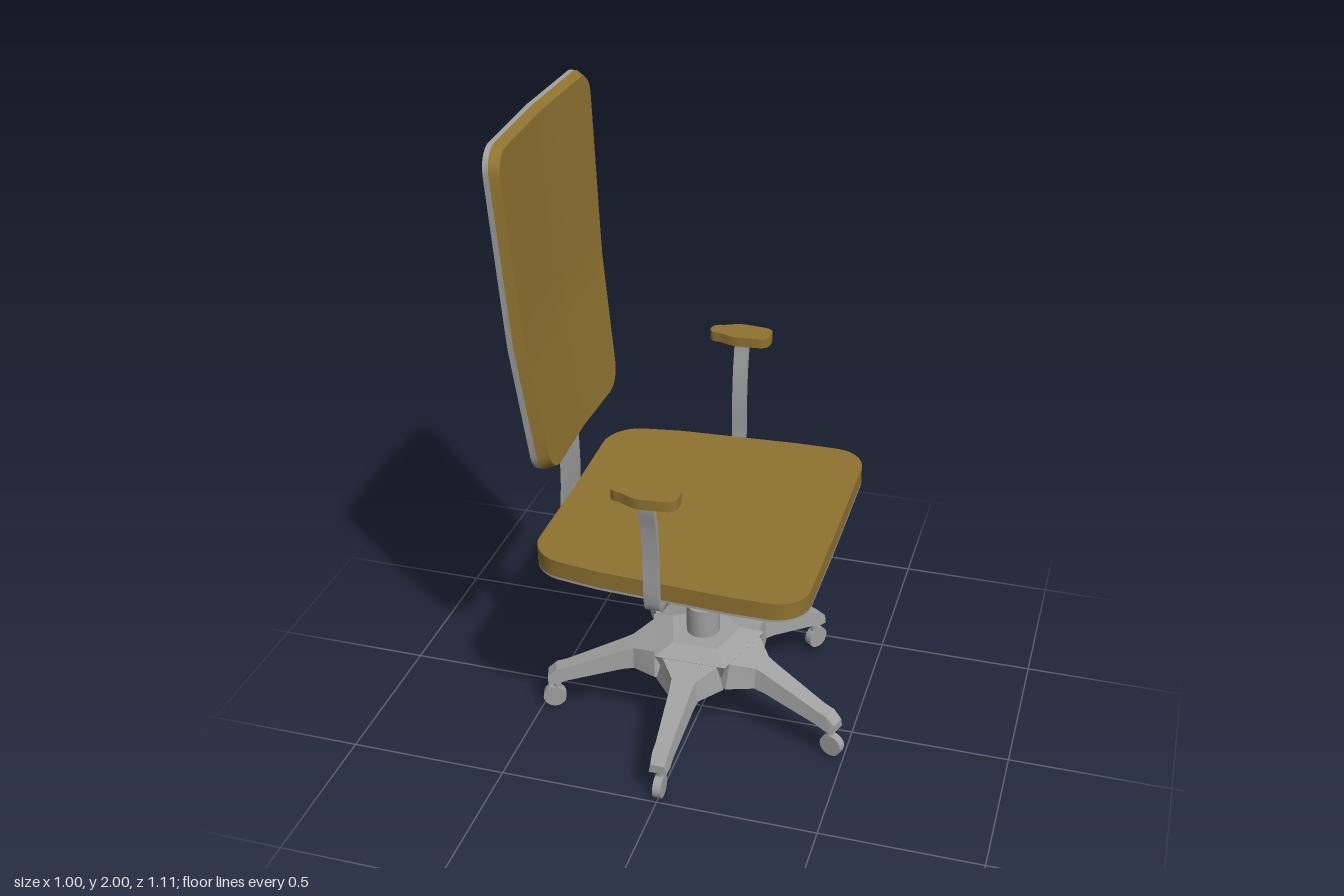
import * as THREE from 'three';
import { toCreasedNormals } from 'three/addons/utils/BufferGeometryUtils.js';

const ochre = new THREE.MeshStandardMaterial({ name: 'ochre fabric', color: 0x8f7230 });
const grey = new THREE.MeshStandardMaterial({ name: 'grey plastic', color: 0xa0a0a0 });

function mesh(name, geometry, material, parent, x = 0, y = 0, z = 0) {
  const m = new THREE.Mesh(geometry, material);
  m.name = name;
  m.position.set(x, y, z);
  parent.add(m);
  return m;
}

// Piecewise linear lookup in [[key, value], ...]
function lookup(table, k) {
  for (let i = 1; i < table.length; i++) {
    const [a, va] = table[i - 1], [b, vb] = table[i];
    if (k <= b || i === table.length - 1) return va + (vb - va) * (k - a) / (b - a);
  }
}

// Closed solid through rings of equal, even length; the ends are capped with strips
function loft(rings, crease = 0.45) {
  const tris = [], n = rings[0].length, last = rings.length - 1;
  const quad = (a, b, c, d) => tris.push(a, b, c, a, c, d);
  for (let r = 0; r < last; r++) {
    for (let i = 0; i < n; i++) {
      const j = (i + 1) % n;
      quad(rings[r][i], rings[r][j], rings[r + 1][j], rings[r + 1][i]);
    }
  }
  for (let i = 0; i < n / 2 - 1; i++) {
    const [s, e] = [rings[0], rings[last]];
    quad(s[n - 1 - i], s[n - 2 - i], s[i + 1], s[i]);
    quad(e[i], e[i + 1], e[n - 2 - i], e[n - 1 - i]);
  }
  // Turn the faces outward if the enclosed volume is negative
  let volume = 0;
  const cross = new THREE.Vector3();
  for (let i = 0; i < tris.length; i += 3) volume += tris[i].dot(cross.crossVectors(tris[i + 1], tris[i + 2]));
  if (volume < 0) tris.reverse();
  const g = new THREE.BufferGeometry().setFromPoints(tris);
  g.computeVertexNormals();
  return toCreasedNormals(g, crease);
}

// Rounded, tapering panel; place(u, w, v, side) puts a point on side 0 or 1
function panel(widths, radius, place) {
  const v0 = widths[0][0], v1 = widths[widths.length - 1][0], rows = [], steps = 7, cols = 10;
  for (let i = 0; i <= steps; i++) {
    const a = i / steps * Math.PI / 2;
    rows.push([radius * (1 - Math.cos(a)), radius * (1 - Math.sin(a))]);
  }
  const stations = rows.map(([t, cut]) => [v0 + t, cut]);
  for (let i = 1; i < 10; i++) stations.push([v0 + radius + (v1 - v0 - 2 * radius) * i / 10, 0]);
  stations.push(...rows.map(([t, cut]) => [v1 - t, cut]).reverse());
  return loft(stations.map(([v, cut]) => {
    const w = lookup(widths, v) - cut, ring = [];
    for (let i = 0; i <= cols; i++) ring.push(place(i / cols * 2 - 1, w, v, 0));
    for (let i = cols; i >= 0; i--) ring.push(place(i / cols * 2 - 1, w, v, 1));
    return ring;
  }));
}

// Flat bar following a curve in the (a, y) plane; toPoint(a, y, across) places it
function bar(points, thickness, halfWidth, toPoint, divisions = 24) {
  const curve = new THREE.CatmullRomCurve3(points.map(([a, y]) => new THREE.Vector3(a, y, 0)));
  const rings = [];
  for (let i = 0; i <= divisions; i++) {
    const t = i / divisions, p = curve.getPoint(t), d = curve.getTangent(t);
    const ox = -d.y * thickness / 2, oy = d.x * thickness / 2, h = halfWidth(t);
    rings.push([[1, -h], [1, h], [-1, h], [-1, -h]].map(([s, w]) => toPoint(p.x + s * ox, p.y + s * oy, w)));
  }
  return loft(rings);
}

function buildBase(parent) {
  const base = new THREE.Group();
  base.name = 'base';
  parent.add(base);

  // Five-sided hub with its flats facing the legs
  const hub = (name, top, bottom, h, y) => {
    const g = new THREE.CylinderGeometry(top, bottom, h, 5).rotateY(Math.PI / 5).toNonIndexed();
    g.computeVertexNormals();
    mesh(name, g, grey, base, 0, y, 0);
  };
  hub('hub', 0.195, 0.15, 0.09, 0.22);
  hub('hubTop', 0.12, 0.195, 0.022, 0.276);

  // Legs with casters: [radius, half width, top, bottom]
  const sections = [[0.12, 0.1, 0.265, 0.175], [0.158, 0.11, 0.264, 0.18], [0.225, 0.048, 0.243, 0.172],
    [0.26, 0.043, 0.23, 0.165], [0.44, 0.031, 0.162, 0.115], [0.475, 0.031, 0.153, 0.102], [0.503, 0.028, 0.128, 0.1]];
  const legGeometry = loft(sections.map(([r, w, t, b]) => [[-w, b], [w, b], [w * 0.8, t], [-w * 0.8, t]]
    .map(([x, y]) => new THREE.Vector3(x, y, r))), 0.2);
  for (let i = 0; i < 5; i++) {
    const leg = new THREE.Group();
    leg.name = 'leg' + (i + 1);
    leg.rotation.y = i * Math.PI * 2 / 5;
    base.add(leg);
    mesh('legArm', legGeometry, grey, leg);
    mesh('casterStem', new THREE.CylinderGeometry(0.012, 0.012, 0.05, 12), grey, leg, 0, 0.09, 0.475);
    mesh('casterWheel', new THREE.CylinderGeometry(0.037, 0.037, 0.026, 20).rotateZ(Math.PI / 2), grey, leg, 0, 0.037, 0.485);
  }

  // Stepped gas lift
  const profile = [[0, 0.27], [0.053, 0.27], [0.053, 0.385], [0.033, 0.385], [0.033, 0.455], [0.018, 0.455], [0.018, 0.64], [0, 0.64]];
  const lift = new THREE.LatheGeometry(profile.map(([x, y]) => new THREE.Vector2(x, y)), 24);
  mesh('gasLift', toCreasedNormals(lift, 0.6), grey, base);
}

function buildSeat(parent) {
  const seat = new THREE.Group();
  seat.name = 'seat';
  parent.add(seat);
  // Mounting plates
  mesh('mountTop', new THREE.BoxGeometry(0.31, 0.03, 0.31), grey, seat, 0, 0.67, 0);
  mesh('mountMiddle', new THREE.BoxGeometry(0.2, 0.015, 0.2), grey, seat, 0, 0.648, 0);
  mesh('mountCollar', new THREE.CylinderGeometry(0.07, 0.07, 0.014, 24), grey, seat, 0, 0.634, 0);

  // Cushion and pan, dipping slightly along the middle
  const widths = [[-0.422, 0.395], [-0.2, 0.428], [0.2, 0.45], [0.424, 0.45]];
  const layer = (bottom, top) => panel(widths, 0.1, (u, w, v, side) =>
    new THREE.Vector3(v, (side ? top : bottom) - 0.009 * (1 - Math.abs(u * w) / 0.45), u * w));
  mesh('seatPan', layer(0.686, 0.694), grey, seat);
  mesh('seatCushion', layer(0.694, 0.749), ochre, seat);
}

function buildBack(parent) {
  const back = new THREE.Group();
  back.name = 'backrest';
  parent.add(back);
  const rear = [[0.96, -0.42], [1.4, -0.464], [1.99, -0.492]];
  const depth = [[0.96, 0.056], [1.4, 0.048], [1.99, 0.043]];
  const widths = [[0.962, 0.305], [1.05, 0.315], [1.4, 0.345], [1.9, 0.374], [1.986, 0.378]];
  // Layers between two fractions of the depth, bowed around the sitter
  const layer = (from, to, inset) => panel(widths, 0.07, (u, w, v, side) => {
    const z = u * w, k = side * inset;
    const x = lookup(rear, v) + lookup(depth, v) * (side ? to : from) - 0.012 * (1 - Math.abs(z) / 0.36);
    return new THREE.Vector3(x, v + (1.475 - v) * k * 0.7, z * (1 - k));
  });
  mesh('backShell', layer(0, 0.38, 0), grey, back);
  mesh('backCushion', layer(0.38, 1, 0.035), ochre, back);

  // Flat upright from beneath the seat to the back of the shell
  const path = [[-0.3, 0.684], [-0.4, 0.684], [-0.426, 0.7], [-0.427, 0.8], [-0.428, 0.92], [-0.439, 1.0], [-0.456, 1.15]];
  mesh('backSupport', bar(path, 0.01, t => 0.088 - 0.024 * t, (x, y, w) => new THREE.Vector3(x, y, w)), grey, back);
}

function buildArm(parent, side) {
  const arm = new THREE.Group();
  arm.name = side > 0 ? 'armFront' : 'armRear';
  parent.add(arm);
  const path = [[0.365, 0.676], [0.44, 0.676], [0.466, 0.684], [0.477, 0.72], [0.479, 0.85], [0.49, 0.97], [0.504, 1.035], [0.507, 1.072]];
  mesh('armStrut', bar(path, 0.018, () => 0.023, (z, y, w) => new THREE.Vector3(w - 0.012, y, side * z)), grey, arm);

  // Pad outline seen from above
  const outline = [[-0.115, -0.005], [-0.105, -0.028], [-0.075, -0.033], [-0.03, -0.048], [0.02, -0.046], [0.075, -0.035],
    [0.085, 0], [0.075, 0.035], [0.02, 0.046], [-0.03, 0.048], [-0.075, 0.03], [-0.105, 0.02]];
  const curve = new THREE.CatmullRomCurve3(outline.map(([x, z]) => new THREE.Vector3(x, side * (z + 0.508), 0)), true);
  const shape = new THREE.Shape(curve.getPoints(40).slice(0, -1).map(p => new THREE.Vector2(p.x, p.y)));
  const pad = new THREE.ExtrudeGeometry(shape, { depth: 0.032, bevelEnabled: false }).rotateX(Math.PI / 2);
  mesh('armPad', toCreasedNormals(pad, 0.6), ochre, arm, 0, 1.101, 0);
}

export function createModel() {
  const model = new THREE.Group();
  model.name = 'officeChair';
  // The chair leans very slightly sideways
  const chair = new THREE.Group();
  chair.name = 'chair';
  chair.rotation.x = 0.022;
  chair.position.set(0, 0.011, -0.02);
  model.add(chair);
  buildBase(chair);
  buildSeat(chair);
  buildBack(chair);
  for (const side of [1, -1]) buildArm(chair, side);
  return model;
}
